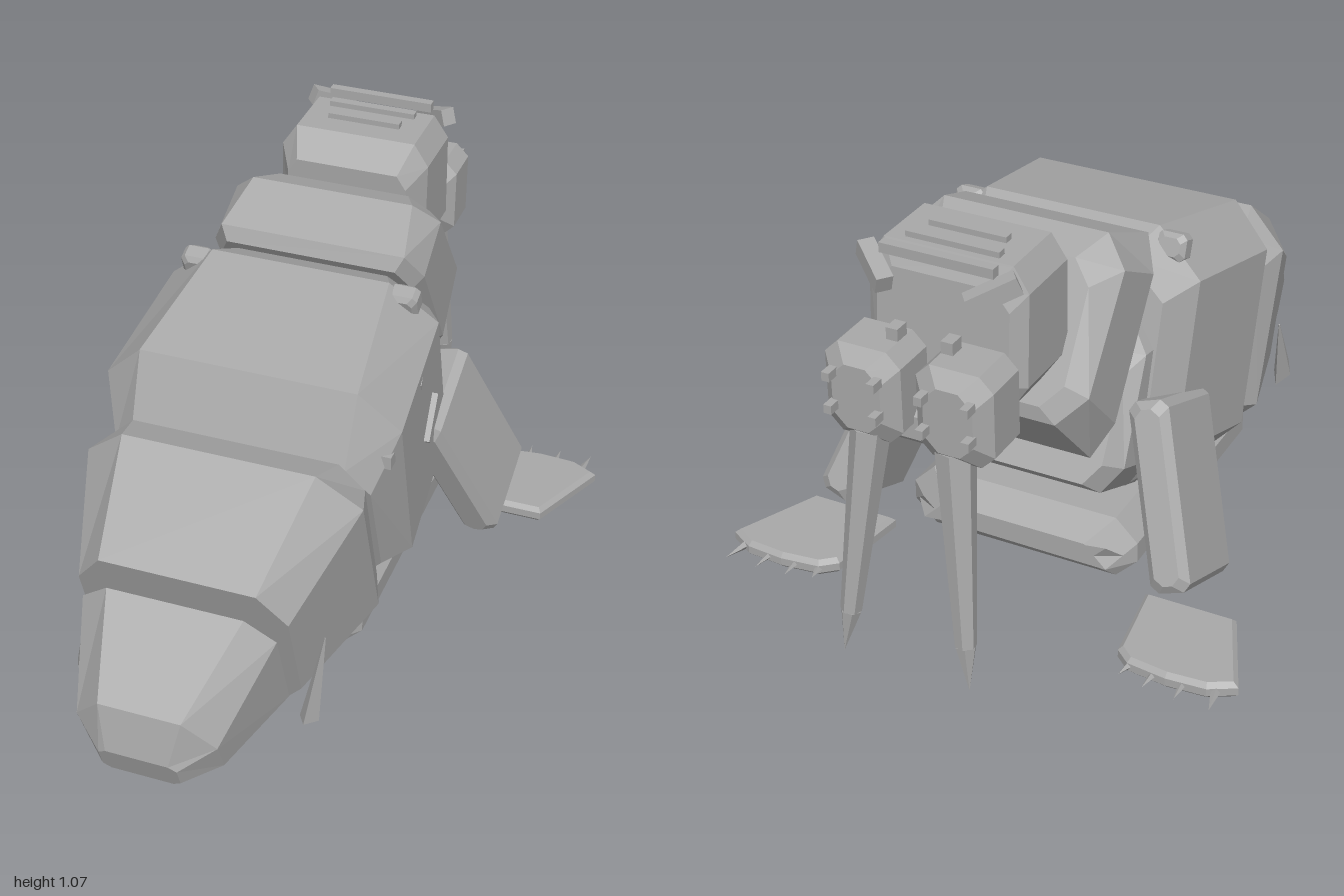
import * as THREE from 'three';

const V = (x, y, z) => new THREE.Vector3(x, y, z);

// Lofts chamfered eight-point rings, listed from +z to -z.
// Ring: [zBottom, yBottom, zTop, yTop, halfWidth, halfWidthAtTopAndBottom, chamferFraction]
function loft(rings) {
  const pos = [], idx = [], n = 8;
  for (const [zb, yb, zt, yt, w, wt, c = 0.17] of rings) {
    const ring = [[wt, 0], [w, c], [w, 1 - c], [wt, 1], [-wt, 1], [-w, 1 - c], [-w, c], [-wt, 0]];
    for (const [x, t] of ring) pos.push(x, yb + (yt - yb) * t, zb + (zt - zb) * t);
  }
  const last = (rings.length - 1) * n;
  for (let r = 0; r < last; r += n) {
    for (let k = 0; k < n; k++) {
      const a = r + k, b = r + (k + 1) % n;
      idx.push(a, a + n, b, b, a + n, b + n);
    }
  }
  for (let k = 1; k < n - 1; k++) {
    idx.push(0, k, k + 1, last, last + k + 1, last + k);
  }
  const g = new THREE.BufferGeometry();
  g.setAttribute('position', new THREE.Float32BufferAttribute(pos, 3));
  g.setIndex(idx);
  const flat = g.toNonIndexed();
  flat.computeVertexNormals();
  return flat;
}

// Box with all edges chamfered by c
function chamferBox(w, h, d, c) {
  const ring = (z, s) => [z, -h / 2 + s, z, h / 2 - s, w / 2 - s, w / 2 - s - c, c / (h - 2 * s)];
  return loft([ring(d / 2, c), ring(d / 2 - c, 0), ring(-d / 2 + c, 0), ring(-d / 2, c)]);
}

export function createModel() {
  const model = new THREE.Group();
  model.name = 'walrus';
  const grey = new THREE.MeshStandardMaterial({ color: 0xa8a8a8, flatShading: true });
  grey.name = 'grey hide';

  const add = (parent, name, geo, x = 0, y = 0, z = 0) => {
    const m = new THREE.Mesh(geo, grey);
    m.name = name;
    m.position.set(x, y, z);
    parent.add(m);
    return m;
  };
  // Box laid along the line from a to b
  const bar = (parent, name, a, b, w, h) => {
    const m = add(parent, name, new THREE.BoxGeometry(w, h, a.distanceTo(b)));
    m.position.copy(a).add(b).multiplyScalar(0.5);
    m.lookAt(b);
    return m;
  };
  // Cone from a to its tip at b
  const spike = (parent, name, a, b, r0, r1, sides) => {
    const m = add(parent, name, new THREE.CylinderGeometry(r1, r0, a.distanceTo(b), sides));
    m.position.copy(a).add(b).multiplyScalar(0.5);
    m.quaternion.setFromUnitVectors(V(0, 1, 0), b.clone().sub(a).normalize());
    return m;
  };

  // Body segments, tail to neck
  add(model, 'tail', loft([
    [0.97, 0.1, 1.0, 0.18, 0.1, 0.08],
    [0.86, 0.045, 0.975, 0.3, 0.18, 0.105, 0.33],
    [0.62, 0.09, 0.75, 0.455, 0.25, 0.175],
  ]));
  add(model, 'hindquarters', loft([
    [0.58, 0.065, 0.735, 0.52, 0.27, 0.2, 0.2],
    [0.25, 0.1, 0.465, 0.695, 0.36, 0.25, 0.16],
    [0.18, 0.14, 0.355, 0.66, 0.33, 0.27, 0.16],
  ]));
  add(model, 'torso', loft([
    [0.18, 0.19, 0.34, 0.63, 0.34, 0.28],
    [0.07, 0.145, 0.265, 0.81, 0.39, 0.285, 0.16],
    [-0.3, 0.25, -0.11, 0.9, 0.365, 0.24, 0.17],
    [-0.37, 0.32, -0.215, 0.855, 0.31, 0.2],
  ]));
  add(model, 'chest', loft([
    [-0.26, 0.24, -0.12, 0.72, 0.31, 0.25],
    [-0.46, 0.33, -0.28, 0.72, 0.3, 0.25],
    [-0.5, 0.37, -0.33, 0.66, 0.26, 0.22],
  ]));
  add(model, 'neck', loft([
    [-0.46, 0.485, -0.185, 0.885, 0.265, 0.23],
    [-0.515, 0.465, -0.2, 0.925, 0.29, 0.25],
    [-0.64, 0.62, -0.355, 0.99, 0.285, 0.22],
    [-0.64, 0.66, -0.45, 0.96, 0.23, 0.18],
  ]));
  add(model, 'belly', chamferBox(0.64, 0.175, 0.8, 0.06), 0, 0.127, -0.05);

  // Head
  add(model, 'head', loft([
    [-0.48, 0.77, -0.47, 1.0, 0.165, 0.14],
    [-0.54, 0.71, -0.54, 1.065, 0.205, 0.165],
    [-0.74, 0.71, -0.72, 1.065, 0.205, 0.165],
    [-0.77, 0.73, -0.75, 1.01, 0.17, 0.13],
  ]));
  add(model, 'jaw', chamferBox(0.26, 0.1, 0.18, 0.02), 0, 0.675, -0.775);
  for (const [z, w] of [[-0.62, 0.2], [-0.69, 0.24], [-0.765, 0.29]]) {
    add(model, 'headRidge', new THREE.BoxGeometry(w, 0.025, 0.025), 0, 1.067, z);
  }

  // Everything on the left side, mirrored below
  const side = new THREE.Group();
  side.name = 'leftSide';
  add(side, 'muzzle', chamferBox(0.195, 0.235, 0.185, 0.035), 0.117, 0.772, -0.855);
  for (const x of [0.06, 0.175]) {
    for (const y of [0.745, 0.83]) {
      add(side, 'whiskerStud', new THREE.BoxGeometry(0.02, 0.022, 0.035), x, y, -0.96);
    }
  }
  add(side, 'muzzleStud', new THREE.BoxGeometry(0.03, 0.04, 0.04), 0.07, 0.9, -0.84);
  const bend = V(0.155, 0.19, -0.968);
  spike(side, 'tusk', V(0.11, 0.68, -0.905), bend, 0.048, 0.026, 6);
  spike(side, 'tuskTip', bend, V(0.17, 0.075, -0.985), 0.026, 0, 6);
  bar(side, 'brow', V(0.195, 1.05, -0.755), V(0.105, 1.005, -0.825), 0.04, 0.045);

  // Front flipper: upper arm, flat foot, claws
  const arm = add(side, 'upperFlipper', chamferBox(0.105, 0.47, 0.3, 0.02), 0.405, 0.31, -0.328);
  const up = V(-0.14, 0.4, 0.16).normalize();
  const across = V(0, -0.1, 0.27).normalize();
  const out = up.clone().cross(across).normalize();
  across.crossVectors(out, up);
  arm.quaternion.setFromRotationMatrix(new THREE.Matrix4().makeBasis(out, up, across));

  const foot = new THREE.Shape([
    [0.375, 0.44], [0.6, 0.44], [0.695, 0.655], [0.64, 0.685], [0.54, 0.692], [0.44, 0.68], [0.405, 0.65],
  ].map(([x, z]) => new THREE.Vector2(x, z)));
  const footGeo = new THREE.ExtrudeGeometry(foot, {
    depth: 0.021, bevelEnabled: true, bevelThickness: 0.012, bevelSize: 0.012, bevelSegments: 1,
  });
  footGeo.rotateX(-Math.PI / 2);
  add(side, 'flipperFoot', footGeo, 0, 0.017, 0);
  for (const [x0, x1, z1] of [[0.66, 0.675, -0.755], [0.58, 0.585, -0.755], [0.505, 0.5, -0.75], [0.44, 0.43, -0.73]]) {
    spike(side, 'claw', V(x0, 0.028, -0.675), V(x1, 0.03, z1), 0.013, 0, 4);
  }

  // Hind fin and shoulder block
  const fin = spike(side, 'hindFin', V(0.3, 0.09, 0.635), V(0.312, 0.29, 0.56), 0.05, 0.004, 4);
  fin.scale.x = 0.5;
  const block = add(side, 'shoulderBlock', chamferBox(0.08, 0.07, 0.06, 0.012), 0.28, 0.855, -0.115);
  block.rotation.x = 0.35;
  const right = side.clone();
  right.name = 'rightSide';
  right.scale.x = -1;
  model.add(side, right);

  // Scars and tag on the left flank
  bar(model, 'scar', V(0.365, 0.71, 0.045), V(0.345, 0.775, -0.08), 0.03, 0.02);
  bar(model, 'scar', V(0.378, 0.51, -0.01), V(0.372, 0.605, -0.095), 0.03, 0.02);
  add(model, 'tag', new THREE.BoxGeometry(0.03, 0.035, 0.045), 0.363, 0.635, 0.255);

  return model;
}
